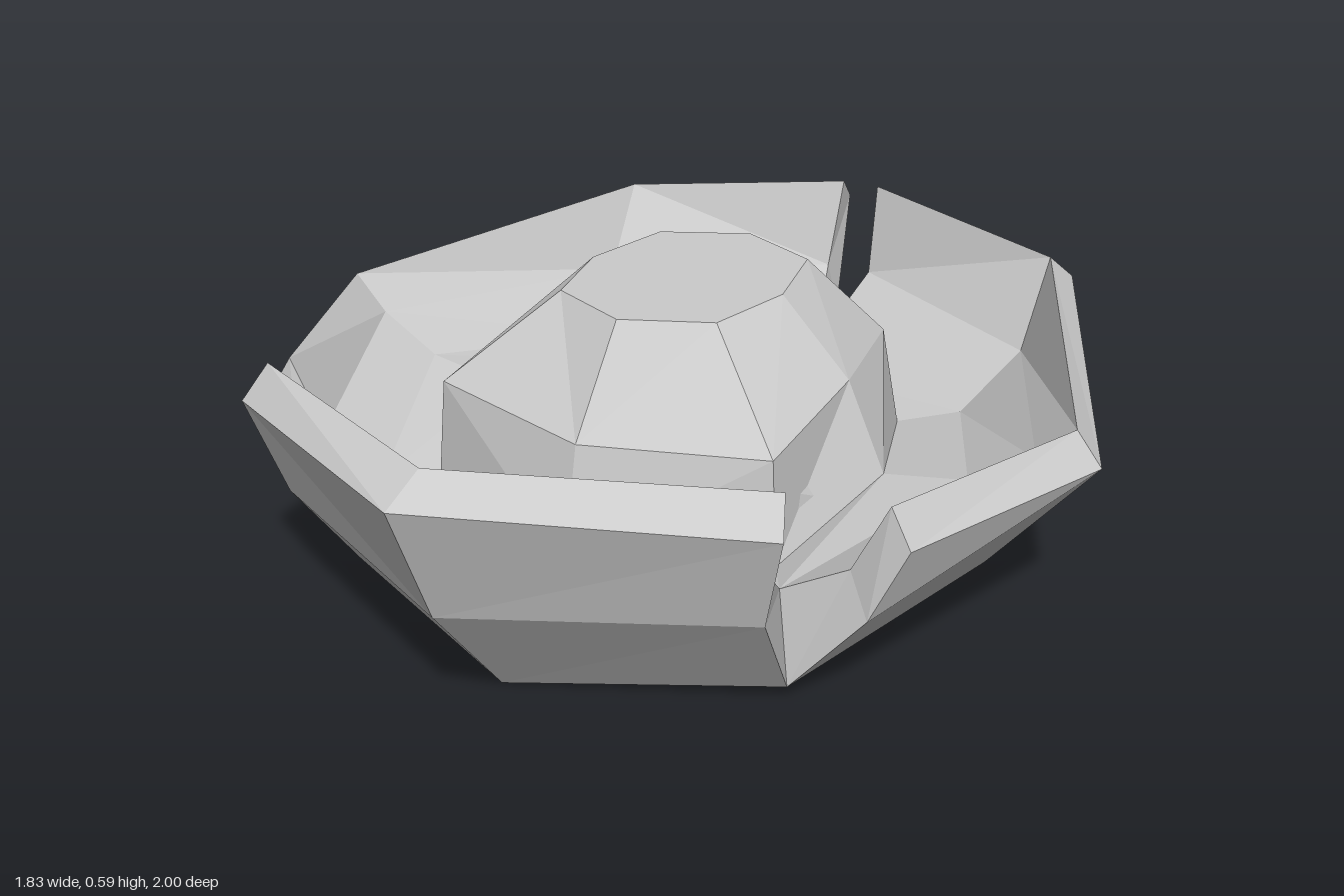
import * as THREE from 'three';

// Cross-sections of the left half, front to back: [x, y, z] for
// outer bottom, outer bend, rim outer, rim inner, inner bend, valley
const brimFront = [[0, 0, 0.69], [0, 0.25, 0.89], [0, 0.51, 1], [0, 0.55, 0.9], [0, 0.35, 0.83], [0, 0.18, 0.635]];
const brimFrontEnd = [[0.5, 0.03, 0.48], [0.53, 0.255, 0.64], [0.585, 0.46, 0.69], [0.56, 0.525, 0.635], [0.52, 0.33, 0.6], [0.46, 0.21, 0.44]];
const brimSideEnd = [[0.5, 0.03, 0.48], [0.65, 0.21, 0.47], [0.72, 0.365, 0.455], [0.675, 0.44, 0.445], [0.6, 0.29, 0.44], [0.46, 0.21, 0.44]];
const brimSide = [[0.7, 0.11, -0.01], [0.84, 0.28, -0.01], [0.915, 0.37, -0.015], [0.86, 0.44, -0.015], [0.785, 0.36, -0.015], [0.65, 0.28, -0.015]];
const brimBackCorner = [[0.5, 0.03, -0.49], [0.56, 0.17, -0.65], [0.585, 0.435, -0.82], [0.55, 0.495, -0.755], [0.54, 0.31, -0.625], [0.46, 0.2, -0.475]];
const brimBackSlit = [[0, 0.025, -0.7], [0.045, 0.21, -0.91], [0.06, 0.475, -1], [0.045, 0.535, -0.925], [0.055, 0.33, -0.87], [0, 0.19, -0.68]];

// Crown: base, shoulder, top edge
const crown = [
  [[0, 0.15, 0.46], [0, 0.385, 0.41], [0, 0.59, 0.25]],
  [[0.395, 0.18, 0.325], [0.38, 0.4, 0.315], [0.18, 0.59, 0.17]],
  [[0.47, 0.25, -0.015], [0.385, 0.44, -0.015], [0.225, 0.59, -0.03]],
  [[0.34, 0.18, -0.4], [0.31, 0.41, -0.365], [0.18, 0.59, -0.24]],
  [[0, 0.17, -0.565], [0, 0.4, -0.51], [0, 0.59, -0.325]],
];

// Lining, a little inside and below the crown
const inset = (p, s, d) => [p[0] * s, p[1] - d, p[2] * s];
const lining = crown.map(([base, shoulder, top]) => [
  inset(base, 0.99, 0.075), inset(shoulder, 0.95, 0.07), inset(top, 0.93, 0.04),
]);

// Collects triangles together with their mirror images
class Surface {
  constructor() { this.points = []; }
  tri(a, b, c) {
    const cross = new THREE.Vector3(b[0] - a[0], b[1] - a[1], b[2] - a[2])
      .cross(new THREE.Vector3(c[0] - a[0], c[1] - a[1], c[2] - a[2]));
    if (cross.length() < 1e-7) return;
    const flip = (p) => [-p[0], p[1], p[2]];
    this.points.push(...a, ...b, ...c, ...flip(a), ...flip(c), ...flip(b));
  }
  quad(a, b, c, d) {
    this.tri(a, b, c);
    this.tri(a, c, d);
  }
  // Skin between neighbouring cross-sections
  loft(sections) {
    for (let i = 0; i + 1 < sections.length; i++) {
      const p = sections[i], q = sections[i + 1];
      for (let k = 0; k + 1 < p.length; k++) this.quad(p[k], q[k], q[k + 1], p[k + 1]);
    }
  }
  // Closes a cut through the brim wall
  cap(s, atEnd) {
    for (const f of [[s[0], s[1], s[4], s[5]], [s[1], s[2], s[3], s[4]]]) {
      this.quad(...(atEnd ? f.reverse() : f));
    }
  }
  mesh(name, material) {
    const geometry = new THREE.BufferGeometry();
    geometry.setAttribute('position', new THREE.Float32BufferAttribute(this.points, 3));
    geometry.computeVertexNormals();
    const mesh = new THREE.Mesh(geometry, material);
    mesh.name = name;
    return mesh;
  }
}

export function createModel() {
  const model = new THREE.Group();
  model.name = 'hat';
  const material = new THREE.MeshStandardMaterial({ color: 0xcccccc, flatShading: true, side: THREE.DoubleSide });

  // Brim section running from the underside, over the rim, to the crown
  const full = (section, i) => [lining[i][0], ...section, crown[i][0]];

  // Upturned front flap
  const front = new Surface();
  front.loft([full(brimFront, 0), full(brimFrontEnd, 1)]);
  front.cap(brimFrontEnd, true);
  model.add(front.mesh('frontBrim', material));

  // Side and back brim, split at the back
  const sides = new Surface();
  sides.loft([full(brimSideEnd, 1), full(brimSide, 2), full(brimBackCorner, 3), full(brimBackSlit, 4)]);
  sides.cap(brimSideEnd, false);
  sides.cap(brimBackSlit, true);
  model.add(sides.mesh('sideAndBackBrim', material));

  // Faceted crown with a flat top
  const dome = new Surface();
  dome.loft(crown.map((s) => [...s, [0, 0.59, -0.03]]));
  model.add(dome.mesh('crown', material));

  // Hollow inside
  const hollow = new Surface();
  hollow.loft(lining.map((s) => [[0, 0.55, -0.03], ...[...s].reverse()]));
  model.add(hollow.mesh('crownLining', material));

  return model;
}
